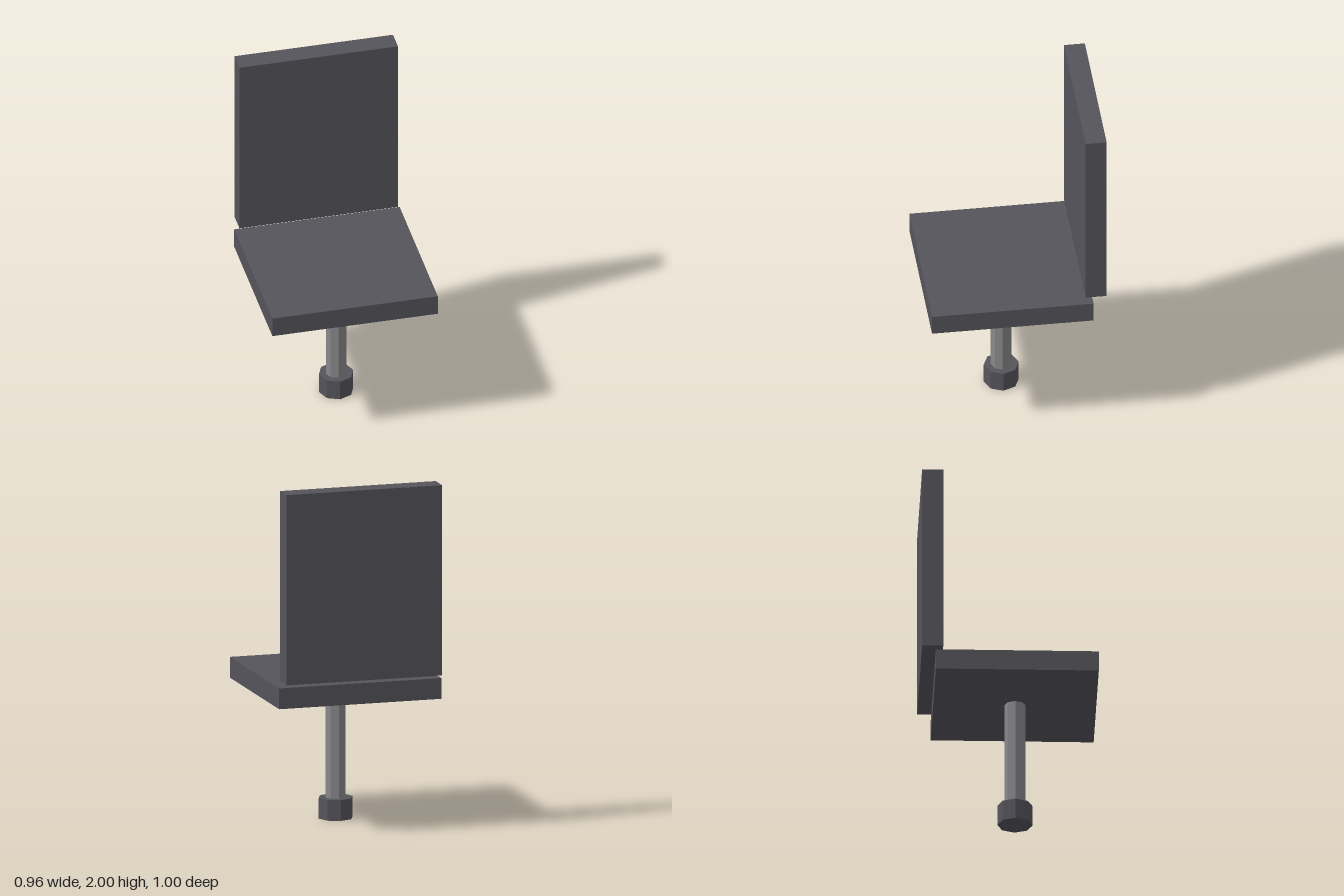
import * as THREE from 'three';

export function createModel() {
  const chair = new THREE.Group();
  chair.name = 'chair';

  const charcoal = new THREE.MeshStandardMaterial({ name: 'charcoal', color: 0x55545b, flatShading: true });
  const steel = new THREE.MeshStandardMaterial({ name: 'steel grey', color: 0x88888a, flatShading: true });

  const add = (name, geometry, material, y, z) => {
    const mesh = new THREE.Mesh(geometry, material);
    mesh.name = name;
    mesh.position.set(0, y, z);
    chair.add(mesh);
  };
  // Eight-sided upright centred on the pedestal axis
  const octagon = (radius, height) => new THREE.CylinderGeometry(radius, radius, height, 8);
  const pedestalZ = 0.04;

  // Cushions
  add('seat', new THREE.BoxGeometry(0.963, 0.12, 0.923), charcoal, 0.808, 0.0385);
  add('backrest', new THREE.BoxGeometry(0.923, 1.1, 0.12), charcoal, 1.45, -0.44);

  // Pedestal
  add('post', octagon(0.06, 0.628), steel, 0.434, pedestalZ);
  add('base', octagon(0.1, 0.12), charcoal, 0.06, pedestalZ);

  return chair;
}
